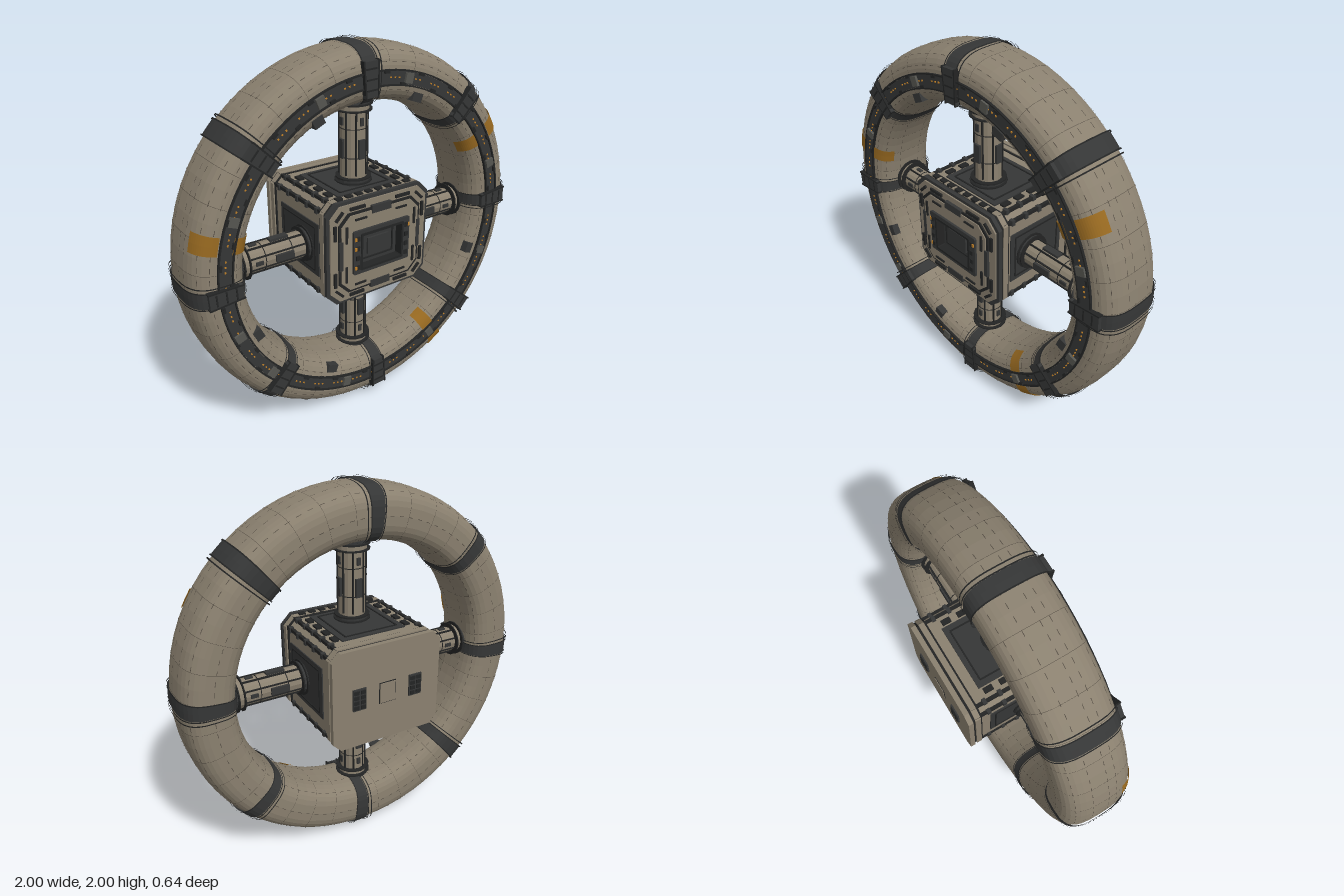
import * as THREE from 'three';
import { mergeGeometries } from 'three/addons/utils/BufferGeometryUtils.js';

const RAD = Math.PI / 180;
const mat = (name, color) => {
  const m = new THREE.MeshStandardMaterial({ color, side: THREE.DoubleSide });
  m.name = name;
  return m;
};

// Merge pieces into one faceted mesh
function add(parent, name, material, pieces) {
  const flat = pieces.map((g) => {
    const f = g.index ? g.toNonIndexed() : g;
    f.computeVertexNormals();
    f.clearGroups();
    return f;
  });
  const mesh = new THREE.Mesh(mergeGeometries(flat), material);
  mesh.name = name;
  parent.add(mesh);
}

const box = (w, h, d, x, y, z) => new THREE.BoxGeometry(w, h, d).translate(x, y, z);
// Box placed on the wheel at radius r and an angle in degrees
const polarBox = (radial, along, depth, r, z, deg) => box(radial, along, depth, r, 0, z).rotateZ(deg * RAD);

// Rounded cross-section of the wheel as (radius, z)
function section(deg, off = 0) {
  const c = Math.cos(deg * RAD), s = Math.sin(deg * RAD), p = 2 / 3;
  return new THREE.Vector2(
    0.845 + (0.14 + off) * Math.sign(c) * Math.abs(c) ** p,
    0.052 + (0.183 + off) * Math.sign(s) * Math.abs(s) ** p);
}
function sectionArc(t0, t1, n, off) {
  return Array.from({ length: n + 1 }, (_, i) => section(t0 + ((t1 - t0) * i) / n, off));
}
// Revolve a (radius, z) path about z from angle a0 to a1 in degrees
function sweep(points, a0, a1, segs) {
  return new THREE.LatheGeometry(points, segs, (a0 + 90) * RAD, (a1 - a0) * RAD).rotateX(Math.PI / 2);
}
const annulus = (r0, r1, z0, z1) => sweep(
  [[r1, z0], [r1, z1], [r0, z1], [r0, z0]].map((p) => new THREE.Vector2(...p)), 0, 360, 96);

// Rectangle with cut corners, extruded from z0 to z1, with an optional opening
function outline(path, w, h, c) {
  const pts = [[w - c, -h], [w, c - h], [w, h - c], [w - c, h], [c - w, h], [-w, h - c], [-w, c - h], [c - w, -h]];
  path.setFromPoints(pts.map((p) => new THREE.Vector2(...p)));
  return path;
}
function plate(w, h, c, z0, z1, hole) {
  const shape = outline(new THREE.Shape(), w, h, c);
  if (hole) shape.holes.push(outline(new THREE.Path(), ...hole));
  return new THREE.ExtrudeGeometry(shape, { depth: z1 - z0, bevelEnabled: false }).translate(0, 0, z0);
}

export function createModel() {
  const hull = mat('hull tan', 0x8a806f);
  const seam = mat('seam brown', 0x4f483f);
  const steel = mat('dark steel', 0x353636);
  const black = mat('black trim', 0x232424);
  const grey = mat('mid grey', 0x555550);
  const orange = mat('orange paint', 0x966820);
  const amber = mat('amber lights', 0xc08028);

  const root = new THREE.Group();
  root.name = 'station';
  const wheel = new THREE.Group();
  wheel.name = 'wheel';
  const hub = new THREE.Group();
  hub.name = 'hub';
  root.add(wheel, hub);
  wheel.position.y = hub.position.y = 1;

  // Wheel tube
  add(wheel, 'wheelTube', hull, [sweep(sectionArc(0, 360, 32, 0), 0, 360, 72)]);

  // Panel seams: dashed lines along the tube and fine hoops across it
  const seams = [];
  for (const t of [2, 12, 45, 72, 110, 135, 168, 192, 225, 270, 315, 348]) {
    const p = section(t, 0.0015);
    const q = p.clone().add(section(t + 1, 0.0015).sub(p).setLength(0.003));
    for (let a = 0; a < 360; a += 3.75) seams.push(sweep([p, q], a, a + 1.7, 1));
  }
  for (let a = 5; a < 360; a += 10) seams.push(sweep(sectionArc(0, 360, 32, 0.001), a, a + 0.1, 1));
  add(wheel, 'panelSeams', seam, seams);

  // Front channel with rims, lights and cover plates
  add(wheel, 'channelFloor', steel, [annulus(0.804, 0.866, 0.22, 0.238)]);
  add(wheel, 'channelRims', black, [annulus(0.796, 0.803, 0.22, 0.246), annulus(0.867, 0.874, 0.22, 0.246)]);
  const lights = [], ticks = [];
  for (let i = 0; i < 200; i++) {
    const a = i * 1.8;
    if (i % 5 < 3) lights.push(polarBox(0.007, 0.008, 0.004, 0.836, 0.24, a));
    if (i % 4 === 0) ticks.push(polarBox(0.012, 0.03, 0.012, i % 8 ? 0.808 : 0.862, 0.243, a));
  }
  add(wheel, 'channelLights', amber, lights);
  add(wheel, 'channelFittings', black, ticks);
  add(wheel, 'channelCovers', grey,
    [18, 77, 112, 158, 200, 222, 258, 300, 340].map((a) => polarBox(0.05, 0.045, 0.016, 0.836, 0.242, a)));
  add(wheel, 'innerBoxes', steel,
    [70, 115, 205, 250, 340].map((a) => polarBox(0.045, 0.06, 0.04, 0.752, 0.212, a)));

  // Eight clamp bands with ribs and front blocks
  const bands = [], ribs = [], blocks = [], blockTrim = [];
  for (let k = 0; k < 8; k++) {
    const a = 2.7 + 45 * k;
    bands.push(sweep(sectionArc(0, 360, 32, 0.008), a - 2.5, a + 2.5, 2));
    for (const d of [-3.9, -2.6, 2.6]) ribs.push(sweep(sectionArc(0, 360, 32, 0.013), a + d - 0.2, a + d + 0.2, 1));
    blocks.push(polarBox(0.17, 0.078, 0.02, 0.84, 0.242, a));
    for (const s of [-1, 1]) blockTrim.push(polarBox(0.18, 0.008, 0.026, 0.84, 0.242, a + s * 2.6));
    for (let j = 0; j < 3; j++) blockTrim.push(polarBox(0.008, 0.06, 0.026, 0.79 + j * 0.05, 0.242, a));
  }
  add(wheel, 'clampBands', steel, bands);
  add(wheel, 'clampRibs', black, ribs);
  add(wheel, 'clampBlocks', steel, blocks);
  add(wheel, 'clampTrim', black, blockTrim);

  // Painted orange panels either side of the channel
  add(wheel, 'orangePanels', orange, [31, 166, -59].flatMap((a) => [[23, 83], [98, 155]].map(
    ([t0, t1]) => sweep(sectionArc(t0, t1, 12, 0.005), a - 2.9, a + 2.9, 2))));

  // Four spokes
  for (let k = 0; k < 4; k++) {
    const spoke = new THREE.Group();
    spoke.name = 'spoke';
    spoke.position.z = 0.05;
    spoke.rotation.z = (k * Math.PI) / 2;
    wheel.add(spoke);
    const base = k % 2 ? 0.27 : 0.3;
    const rod = (r, x0, x1, n = 16) => new THREE.CylinderGeometry(r, r, x1 - x0, n)
      .rotateZ(-Math.PI / 2).translate((x0 + x1) / 2, 0, 0);
    add(spoke, 'spokeTube', hull, [rod(0.07, base - 0.03, 0.74), rod(0.08, 0.655, 0.69)]);
    add(spoke, 'spokeCollars', steel, [rod(0.086, base, base + 0.03), rod(0.086, 0.69, 0.72)]);
    add(spoke, 'spokeFlanges', black, [
      rod(0.098, base + 0.01, base + 0.016), rod(0.094, base + 0.03, base + 0.037),
      rod(0.096, 0.652, 0.658), rod(0.098, 0.684, 0.691), rod(0.072, 0.41, 0.414), rod(0.072, 0.56, 0.564)]);
    const strips = [], pods = [];
    for (let j = 0; j < 4; j++) {
      const turn = (g) => g.rotateX((j * Math.PI) / 2);
      for (const s of [-1, 1]) strips.push(turn(box(0.34, 0.005, 0.01, 0.49, s * 0.03, 0.066)));
      pods.push(turn(box(0.1, 0.036, 0.016, 0.46, 0, 0.072)), turn(box(0.04, 0.02, 0.012, 0.6, 0, 0.07)));
    }
    add(spoke, 'spokeConduits', black, strips);
    add(spoke, 'spokePods', steel, pods);
  }

  // Hub body with banded ends
  add(hub, 'hubBody', hull, [plate(0.297, 0.264, 0.04, -0.3, 0.255)]);
  add(hub, 'hubBackPlate', hull, [plate(0.314, 0.272, 0.045, -0.312, -0.285)]);
  add(hub, 'hubBands', black, [
    plate(0.305, 0.268, 0.045, -0.285, -0.272), plate(0.305, 0.27, 0.045, -0.242, -0.232),
    plate(0.305, 0.27, 0.045, 0.195, 0.208), plate(0.308, 0.27, 0.045, 0.238, 0.252)]);
  add(hub, 'hubTanBands', hull, [plate(0.312, 0.275, 0.05, -0.272, -0.242), plate(0.312, 0.275, 0.05, 0.208, 0.238)]);

  // Paired rails along the cut edges of the hub
  const rails = [], clips = [];
  for (const x of [-1, 1]) for (const y of [-1, 1]) {
    rails.push(box(0.018, 0.018, 0.5, x * 0.296, y * 0.224, -0.02), box(0.018, 0.018, 0.5, x * 0.257, y * 0.263, -0.02));
    for (let j = 0; j < 5; j++) {
      const z = -0.19 + j * 0.09;
      clips.push(box(0.024, 0.03, 0.02, x * 0.298, y * 0.222, z), box(0.03, 0.024, 0.02, x * 0.255, y * 0.265, z));
    }
  }
  add(hub, 'edgeRails', black, rails);
  add(hub, 'edgeClips', steel, clips);

  // Framed panels on the four sides of the hub
  const panels = [], frames = [], bits = [];
  for (const s of [-1, 1]) {
    panels.push(box(0.012, 0.29, 0.36, s * 0.297, 0, 0), box(0.37, 0.012, 0.36, 0, s * 0.265, 0));
    for (const e of [-1, 1]) {
      frames.push(box(0.016, 0.008, 0.3, s * 0.298, e * 0.12, 0), box(0.016, 0.24, 0.008, s * 0.298, 0, e * 0.15));
      frames.push(box(0.3, 0.016, 0.008, 0, s * 0.267, e * 0.15), box(0.008, 0.016, 0.3, e * 0.15, s * 0.267, 0));
      for (let j = 0; j < 4; j++) bits.push(box(0.03, 0.02, 0.05, e * 0.21, s * 0.264, -0.14 + j * 0.09));
    }
    for (let j = 0; j < 8; j++) bits.push(box(0.035, 0.022, 0.03, -0.21 + j * 0.06, s * 0.272, 0.223));
  }
  add(hub, 'sidePanels', steel, panels);
  add(hub, 'sidePanelFrames', black, frames);
  add(hub, 'sideFittings', black, bits);

  // Front face: stepped frames around a recessed bay
  add(hub, 'frontOuterFrame', steel, [plate(0.315, 0.278, 0.058, 0.25, 0.272, [0.285, 0.25, 0.05])]);
  add(hub, 'frontTanFrame', hull, [plate(0.297, 0.262, 0.056, 0.25, 0.28, [0.25, 0.217, 0.055])]);
  add(hub, 'frontInnerFrame', black, [plate(0.252, 0.219, 0.056, 0.25, 0.288, [0.238, 0.205, 0.053])]);
  add(hub, 'frontPlate', hull, [plate(0.239, 0.206, 0.053, 0.25, 0.293, [0.17, 0.115, 0.004])]);
  add(hub, 'bayFrame', steel, [plate(0.175, 0.12, 0.006, 0.25, 0.306, [0.13, 0.098, 0.004])]);
  add(hub, 'bayLip', black, [plate(0.134, 0.102, 0.004, 0.25, 0.31, [0.122, 0.09, 0.004])]);
  add(hub, 'bayFloor', steel, [box(0.25, 0.186, 0.01, 0, 0, 0.257), box(0.13, 0.09, 0.012, 0, 0, 0.268)]);
  add(hub, 'baySteps', black, [plate(0.1, 0.07, 0.004, 0.255, 0.268, [0.092, 0.062, 0.004])]);
  const trim = [], caps = [], lamps = [];
  for (const s of [-1, 1]) {
    caps.push(box(0.12, 0.04, 0.02, 0, s * 0.21, 0.288), box(0.022, 0.16, 0.02, s * 0.242, 0, 0.285));
    for (const e of [-1, 1]) {
      trim.push(box(0.09, 0.016, 0.02, e * 0.14, s * 0.238, 0.28), box(0.016, 0.08, 0.02, s * 0.272, e * 0.13, 0.28));
      trim.push(box(0.012, 0.09, 0.02, s * 0.212, e * 0.11, 0.29), box(0.07, 0.01, 0.02, e * 0.125, s * 0.18, 0.29));
      // Diagonal strap across each frame corner
      trim.push(box(0.014, 0.06, 0.02, 0, 0, 0).rotateZ(s * e * 45 * RAD).translate(s * 0.247, e * 0.213, 0.28));
    }
    for (let j = 0; j < 4; j++) {
      trim.push(box(0.02, 0.025, 0.018, s * 0.152, -0.08 + j * 0.053, 0.303));
      if (s < 0 ? j !== 1 : j === 3) lamps.push(box(0.012, 0.018, 0.006, s * 0.165, -0.08 + j * 0.053, 0.31));
    }
  }
  add(hub, 'frontFittings', black, trim);
  add(hub, 'frontCaps', steel, caps);
  add(hub, 'bayLamps', amber, lamps);

  // Back face: hatch and two vent panels
  add(hub, 'backHatchEdge', black, [box(0.098, 0.118, 0.004, 0, 0, -0.313)]);
  add(hub, 'backHatch', hull, [box(0.09, 0.11, 0.008, 0, 0, -0.314)]);
  const vents = [], slats = [];
  for (const s of [-1, 1]) {
    vents.push(box(0.075, 0.12, 0.01, s * 0.165, 0, -0.315));
    for (let j = 0; j < 4; j++) for (const e of [-1, 1])
      slats.push(box(0.026, 0.02, 0.014, s * 0.165 + e * 0.018, -0.042 + j * 0.028, -0.318));
  }
  add(hub, 'backVents', steel, vents);
  add(hub, 'backVentSlats', black, slats);

  return root;
}
